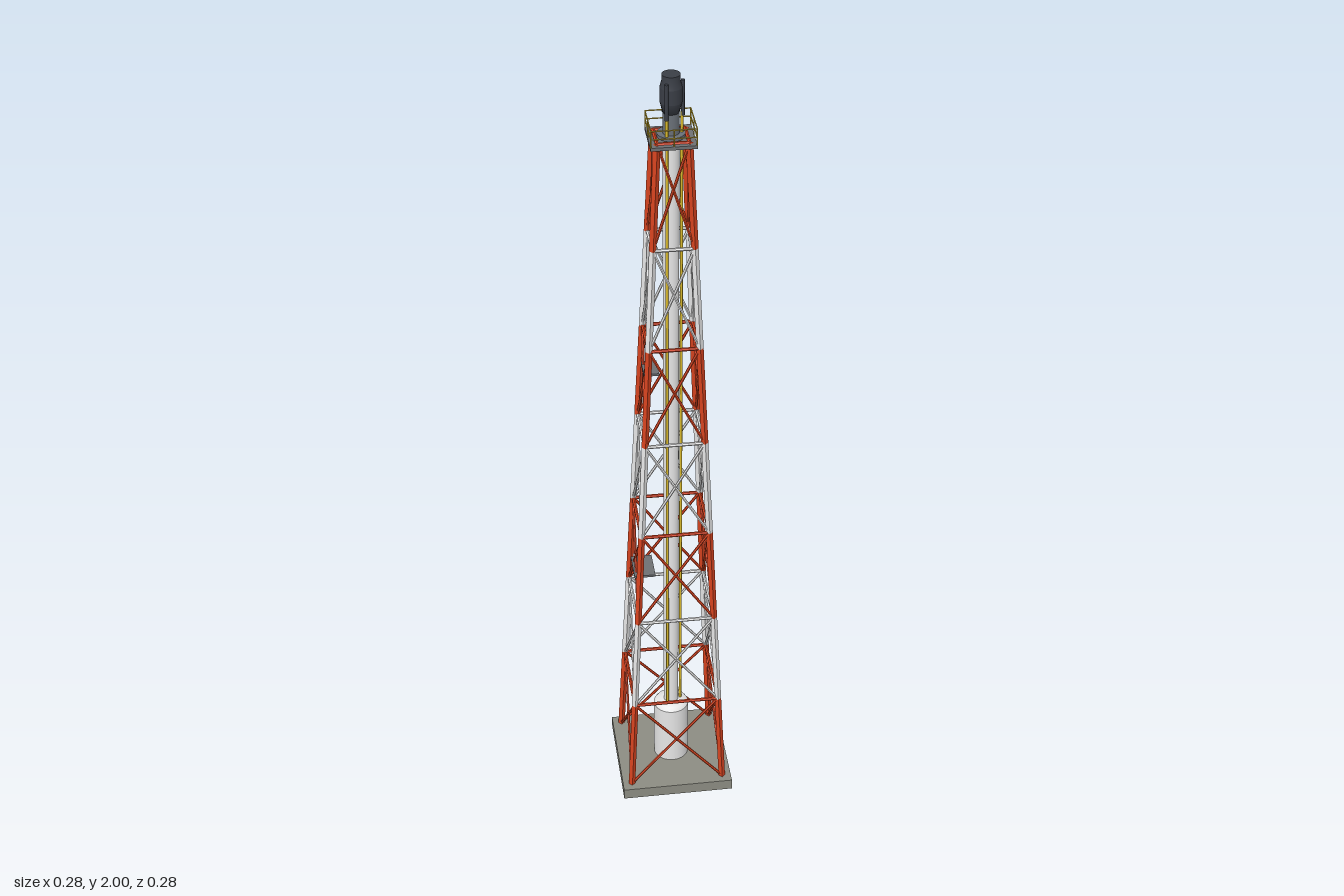
import * as THREE from 'three';

const mat = (name, color) => {
  const m = new THREE.MeshStandardMaterial({ color });
  m.name = name;
  return m;
};

export function createModel() {
  const root = new THREE.Group();
  root.name = 'flareTower';
  const red = mat('signal red', 0xd6431f);
  const white = mat('off white', 0xe6e6e6);
  const concrete = mat('concrete', 0x8c8c82);
  const grating = mat('deck grey', 0x6e7073);
  const steel = mat('pipe steel', 0x6a7078);
  const dark = mat('burnt steel', 0x3a3e46);
  const yellow = mat('safety yellow', 0xd8b82c);

  const add = (name, geo, material, x = 0, y = 0, z = 0, parent = root) => {
    const m = new THREE.Mesh(geo, material);
    m.name = name;
    m.position.set(x, y, z);
    parent.add(m);
    return m;
  };
  // Straight member between two points
  const bar = (name, a, b, r, material, sides, parent) => {
    const dir = b.clone().sub(a);
    const geo = new THREE.CylinderGeometry(r, r, dir.length(), sides);
    const mid = a.clone().add(b).multiplyScalar(0.5);
    const m = add(name, sides < 7 ? geo.toNonIndexed() : geo, material, mid.x, mid.y, mid.z, parent);
    if (sides < 7) m.geometry.computeVertexNormals();
    m.quaternion.setFromUnitVectors(new THREE.Vector3(0, 1, 0), dir.normalize());
    return m;
  };
  const group = (name) => {
    const g = new THREE.Group();
    g.name = name;
    root.add(g);
    return g;
  };

  // Foundation slab
  add('foundationSlab', new THREE.BoxGeometry(0.285, 0.03, 0.285), concrete, 0, 0.015, 0);

  // Tapering lattice: seven bays in alternating colours
  const y0 = 0.03, bay = 0.26, bays = 7;
  const half = (y) => 0.119 - (0.083 * (y - y0)) / (bay * bays);
  const corner = (i, y) => {
    const h = half(y);
    return new THREE.Vector3([1, 1, -1, -1][i % 4] * h, y, [1, -1, -1, 1][i % 4] * h);
  };
  for (let k = 0; k < bays; k++) {
    const g = group('latticeBay' + (k + 1));
    const paint = k % 2 ? white : red;
    const lo = y0 + k * bay, hi = lo + bay;
    for (let i = 0; i < 4; i++) {
      bar('leg', corner(i, lo), corner(i, hi), 0.0085, paint, 4, g);
      bar('crossBrace', corner(i, lo), corner(i + 1, hi), 0.0036, paint, 6, g);
      bar('crossBrace', corner(i + 1, lo), corner(i, hi), 0.0036, paint, 6, g);
      bar('girt', corner(i, hi), corner(i + 1, hi), 0.0045, paint, 6, g);
    }
  }

  // Knock-out drum, riser and inlet pipe
  const drum = [[0, 0.03], [0.045, 0.03], [0.045, 0.03], [0.045, 0.198], [0.045, 0.198],
    [0.038, 0.208], [0.02, 0.212], [0, 0.212]];
  add('baseDrum', new THREE.LatheGeometry(drum.map((p) => new THREE.Vector2(...p)), 24), white);
  add('riser', new THREE.CylinderGeometry(0.019, 0.019, 1.66, 20), white, 0, 1.03, 0);
  const inlet = group('inletPipe');
  bar('pipe', new THREE.Vector3(0, 0.09, -0.03), new THREE.Vector3(0, 0.09, -0.142), 0.0125, steel, 16, inlet);

  // Rest platforms beside the riser
  for (const y of [0.655, 1.245]) {
    const h = half(y);
    add('restPlatform', new THREE.BoxGeometry(h * 0.58, 0.006, h * 0.9), grating, -h * 0.78, y, 0);
  }

  // Top deck with a hole for the riser
  const deckShape = new THREE.Shape();
  deckShape.moveTo(-0.052, -0.052).lineTo(0.052, -0.052).lineTo(0.052, 0.052).lineTo(-0.052, 0.052).closePath();
  const hole = new THREE.Path();
  hole.absarc(0, 0, 0.017, 0, Math.PI * 2, true);
  deckShape.holes.push(hole);
  const deckGeo = new THREE.ExtrudeGeometry(deckShape, { depth: 0.008, bevelEnabled: false, curveSegments: 16 });
  add('topDeck', deckGeo.rotateX(-Math.PI / 2), grating, 0, 1.842, 0);

  // Guard rail
  const rail = group('guardRail');
  const e = 0.051;
  const edge = [[e, e], [e, -e], [-e, -e], [-e, e]];
  edge.forEach(([x, z], i) => {
    const [nx, nz] = edge[(i + 1) % 4];
    for (const y of [1.87, 1.89])
      bar('rail', new THREE.Vector3(x, y, z), new THREE.Vector3(nx, y, nz), 0.0015, yellow, 6, rail);
    for (const t of [0, 0.5]) {
      const px = x + (nx - x) * t, pz = z + (nz - z) * t;
      bar('post', new THREE.Vector3(px, 1.85, pz), new THREE.Vector3(px, 1.89, pz), 0.0016, yellow, 6, rail);
    }
  });

  // Flare tip
  const tip = group('flareTip');
  add('flange', new THREE.CylinderGeometry(0.032, 0.032, 0.008, 20), steel, 0, 1.856, 0, tip);
  add('tipBarrel', new THREE.CylinderGeometry(0.019, 0.019, 0.09, 20), steel, 0, 1.895, 0, tip);
  const shield = [[0, 1.91], [0.019, 1.91], [0.025, 1.935], [0.025, 1.935], [0.025, 1.97],
    [0.025, 1.97], [0.021, 1.985], [0.021, 2], [0.021, 2], [0, 2]];
  add('windShield', new THREE.LatheGeometry(shield.map((p) => new THREE.Vector2(...p)), 20), dark, 0, 0, 0, tip);

  // Three pilots with gas lines running down the riser
  for (let i = 0; i < 3; i++) {
    const a = (i * Math.PI * 2) / 3;
    const at = (r, y) => new THREE.Vector3(r * Math.cos(a), y, r * Math.sin(a));
    bar('pilotGasLine', at(0.024, 0.2), at(0.024, 1.91), 0.0035, yellow, 8, root);
    bar('pilotBurner', at(0.026, 1.9), at(0.026, 1.985), 0.0045, dark, 8, tip);
  }
  return root;
}
